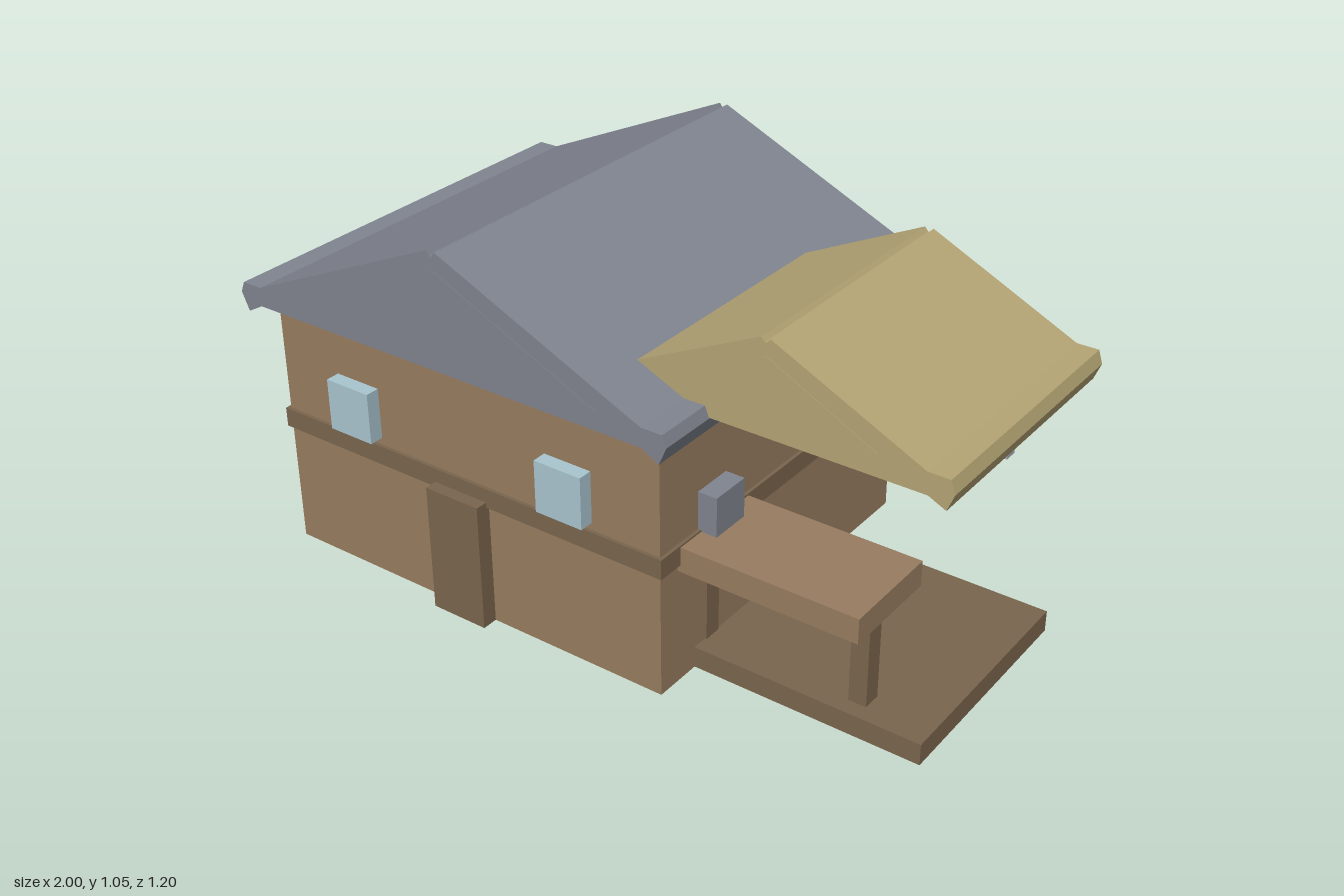
import * as THREE from 'three';

const mat = (color) => new THREE.MeshStandardMaterial({ color, flatShading: true });
const WALL = mat(0x977c60), DARK = mat(0x7a654d), SLATE = mat(0x80848f), STRAW = mat(0xb5a575);
const GLASS = mat(0xa9c5cf), GREY = mat(0xa9acb5), TAN = mat(0xa88c66);

export function createModel() {
  const house = new THREE.Group();
  house.name = 'house';

  // Box given by its extents on each axis
  const box = (name, material, [x0, x1], [y0, y1], [z0, z1]) => {
    const mesh = new THREE.Mesh(new THREE.BoxGeometry(x1 - x0, y1 - y0, z1 - z0), material);
    mesh.position.set((x0 + x1) / 2, (y0 + y1) / 2, (z0 + z1) / 2);
    mesh.name = name;
    house.add(mesh);
  };

  // Extruded outline, mirrored about a vertical line at cx
  const prism = (name, material, cx, half, [z0, z1]) => {
    const left = half.map(([x, y]) => [-x, y]).reverse();
    const pts = [...half, ...left].map(([x, y]) => new THREE.Vector2(x, y));
    const geo = new THREE.ExtrudeGeometry(new THREE.Shape(pts), { depth: z1 - z0, bevelEnabled: false });
    const mesh = new THREE.Mesh(geo, material);
    mesh.position.set(cx, 0, z0);
    mesh.name = name;
    house.add(mesh);
  };

  // Walls and the trim between storeys
  box('walls', WALL, [-0.93, 0.3], [0, 0.74], [-0.54, 0.54]);
  box('storeyBand', DARK, [-0.94, 0.31], [0.35, 0.405], [-0.55, 0.55]);

  // Door and upper windows
  box('door', DARK, [-0.405, -0.235], [0, 0.365], [0.5, 0.585]);
  for (const x of [-0.735, -0.045]) box('window', GLASS, [x, x + 0.141], [0.425, 0.57], [0.5, 0.58]);

  // Main roof: ridge notch, slope, flared eave, flat underside
  prism('mainRoof', SLATE, -0.317, [
    [0.003, 1.04], [0.012, 1.053], [0.61, 0.785], [0.67, 0.785],
    [0.682, 0.755], [0.66, 0.705], [0.612, 0.732],
  ].reverse(), [-0.6, 0.6]);
  prism('mainGable', SLATE, -0.317, [[0.48, 0.785], [0.005, 1.003]], [-0.601, 0.601]);

  // Side roof, running into the main roof
  prism('sideRoof', STRAW, 0.515, [
    [0.003, 0.997], [0.012, 1.008], [0.415, 0.815], [0.473, 0.815],
    [0.484, 0.78], [0.466, 0.735], [0.42, 0.757],
  ].reverse(), [-0.287, 0.435]);
  prism('sideGable', STRAW, 0.515, [[0.295, 0.815], [0.005, 0.962]], [-0.288, 0.436]);

  // Ground deck, balcony and its posts
  box('deck', DARK, [0.29, 0.945], [0, 0.06], [-0.25, 0.4]);
  box('balcony', WALL, [0.29, 0.805], [0.33, 0.4], [0.185, 0.472]);
  for (const x of [0.255, 0.72]) box('balconyPost', DARK, [x, x + 0.05], [0.0, 0.335], [0.303, 0.355]);
  box('balconyBlock', SLATE, [0.24, 0.355], [0.4, 0.51], [0.27, 0.387]);

  // Brackets and beams under the side roof
  box('lowerBeam', GREY, [0.29, 0.84], [0.525, 0.64], [-0.19, -0.152]);
  box('upperBeam', DARK, [0.29, 0.877], [0.672, 0.713], [-0.222, -0.18]);
  box('hangingPost', TAN, [0.75, 0.79], [0.51, 0.69], [-0.192, -0.15]);
  box('outerBracket', GREY, [0.725, 0.82], [0.685, 0.765], [-0.19, -0.152]);
  box('innerBracket', GREY, [0.25, 0.345], [0.665, 0.745], [-0.19, -0.152]);

  return house;
}
